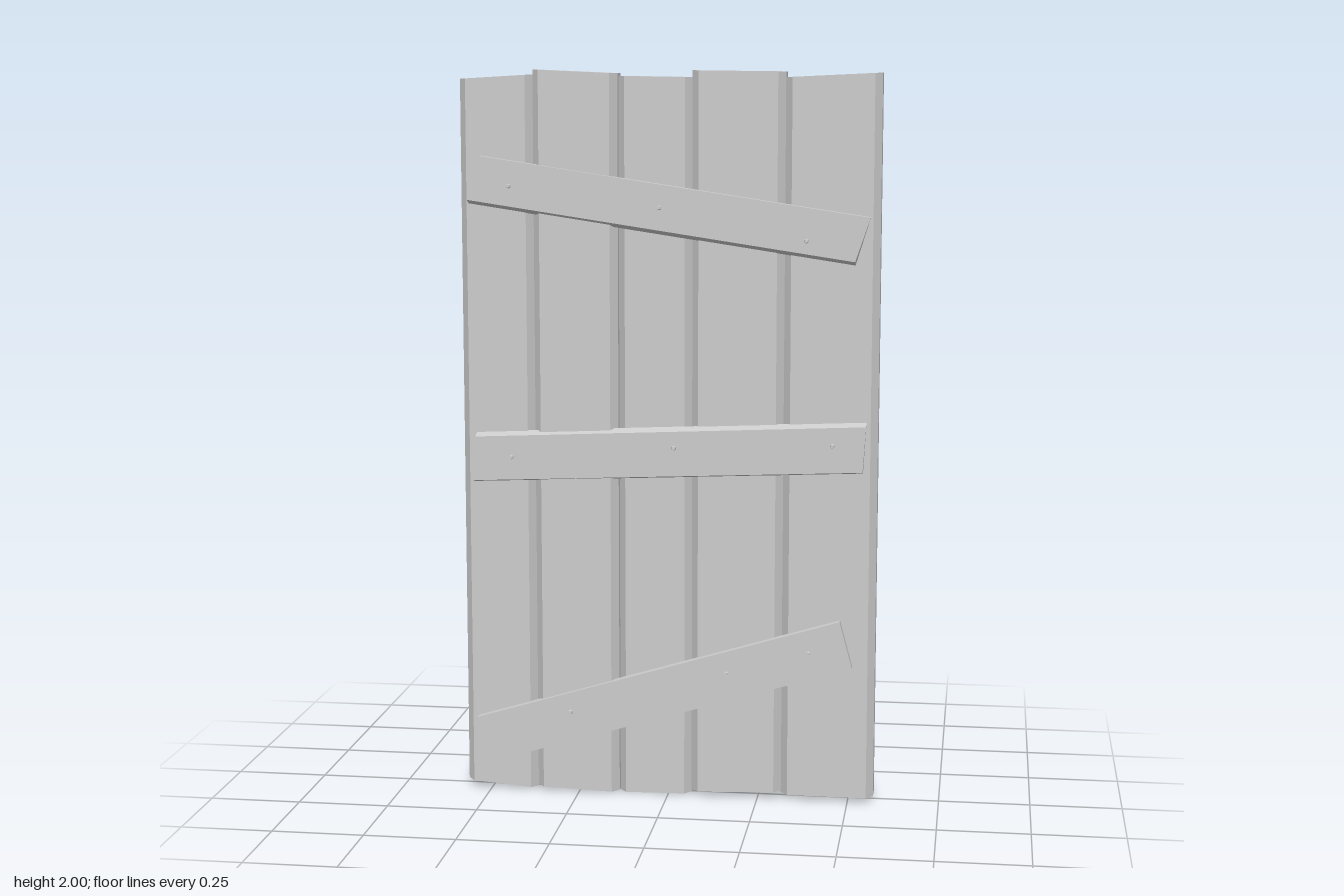
import * as THREE from 'three';

const material = new THREE.MeshStandardMaterial({ color: 0xcccccc, flatShading: true });

function addMesh(parent, geometry, name) {
  const mesh = new THREE.Mesh(geometry, material);
  mesh.name = name;
  parent.add(mesh);
  return mesh;
}

// Extrudes a polygon and moves its vertices by a rule
function prism(points, depth, rule) {
  const shape = new THREE.Shape(points.map(([x, y]) => new THREE.Vector2(x, y)));
  const geometry = new THREE.ExtrudeGeometry(shape, { depth, bevelEnabled: false });
  const pos = geometry.attributes.position;
  const v = new THREE.Vector3();
  for (let i = 0; i < pos.count; i++) {
    rule(v.fromBufferAttribute(pos, i));
    pos.setXYZ(i, v.x, v.y, v.z);
  }
  geometry.computeVertexNormals();
  return geometry;
}

// Upright plank with chamfered edges and slightly sloping ends
function plankGeometry({ x, z, bottom, top }) {
  const [x0, x1] = x, [z0, z1] = z, cx = 0.019, cz = 0.024;
  const section = [
    [x0 + cx, z0], [x1 - cx, z0], [x1, z0 + cz], [x1, z1 - cz],
    [x1 - cx, z1], [x0 + cx, z1], [x0, z1 - cz], [x0, z0 + cz],
  ].map(([px, pz]) => [px, -pz]);
  return prism(section, 1, (v) => {
    const t = (v.x - x0) / (x1 - x0);
    const ends = v.z > 0.5 ? top : bottom;
    v.set(v.x, THREE.MathUtils.lerp(ends[0], ends[1], t), -v.y);
  });
}

// Cross brace: a quad whose outer face is drawn in along its long edges
function braceGeometry(corners, zInner, zOuter, insetTop, insetBottom) {
  const [tl, tr, br, bl] = corners;
  const zMin = Math.min(zInner, zOuter), depth = Math.abs(zOuter - zInner);
  return prism(corners, depth, (v) => {
    const outer = (v.z > depth / 2) === (zOuter > zInner);
    const mid = THREE.MathUtils.mapLinear(v.x, (tl[0] + bl[0]) / 2, (tr[0] + br[0]) / 2,
      (tl[1] + bl[1]) / 2, (tr[1] + br[1]) / 2);
    if (outer) v.y += v.y > mid ? -insetTop : insetBottom;
    v.z += zMin;
  });
}

const planks = [
  { x: [-0.57, -0.369], z: [-0.048, 0.046], bottom: [0.02, 0.004], top: [1.975, 1.987] },
  { x: [-0.369, -0.138], z: [-0.045, 0.055], bottom: [0.012, 0.004], top: [2.0, 1.99] },
  { x: [-0.138, 0.064], z: [-0.055, 0.037], bottom: [0, 0.003], top: [1.983, 1.98] },
  { x: [0.064, 0.314], z: [-0.048, 0.046], bottom: [0.012, 0.02], top: [1.998, 1.995] },
  { x: [0.314, 0.57], z: [-0.048, 0.046], bottom: [0.014, 0.013], top: [1.98, 1.992] },
];

// Brace corners run top left, top right, bottom right, bottom left
const braces = [
  {
    name: 'upper', corners: [[-0.51, 1.77], [0.545, 1.613], [0.505, 1.483], [-0.545, 1.64]],
    inset: [0, 0.012], nails: [[-0.43, 1.69], [-0.02, 1.635], [0.375, 1.55]], extra: [],
  },
  {
    name: 'middle', corners: [[-0.53, 1.015], [0.54, 1.063], [0.532, 0.922], [-0.537, 0.876]],
    inset: [0.01, 0.007], nails: [[-0.43, 0.95], [0.02, 0.985], [0.45, 1.0]], extra: [[0.385, 0.96]],
  },
  {
    name: 'lower', corners: [[-0.535, 0.21], [0.475, 0.515], [0.51, 0.385], [-0.495, 0.083]],
    inset: [0, 0], nails: [[-0.27, 0.235], [0.165, 0.36], [0.39, 0.425]], extra: [],
  },
];

export function createModel() {
  const door = new THREE.Group();
  door.name = 'plankDoor';

  planks.forEach((p, i) => addMesh(door, plankGeometry(p), `plank${i + 1}`));

  // Small nail head, flattened and facing out along z
  const nailGeometry = new THREE.CylinderGeometry(0.005, 0.008, 0.012, 6);
  nailGeometry.rotateX(Math.PI / 2);

  for (const side of ['front', 'back']) {
    const front = side === 'front';
    const zInner = front ? 0.043 : -0.046;
    const zOuter = front ? 0.07 : -0.075;
    for (const b of braces) {
      const group = new THREE.Group();
      group.name = `${side}${b.name[0].toUpperCase()}${b.name.slice(1)}Brace`;
      const [insetTop, insetBottom] = front ? b.inset : [0.008, 0.006];
      addMesh(group, braceGeometry(b.corners, zInner, zOuter, insetTop, insetBottom), 'braceBoard');
      for (const [x, y] of front ? b.nails : [...b.nails, ...b.extra]) {
        const nail = addMesh(group, nailGeometry, 'nail');
        nail.position.set(x, y, zOuter + (front ? 0.001 : -0.001));
        if (!front) nail.rotation.y = Math.PI;
      }
      door.add(group);
    }
  }
  return door;
}
